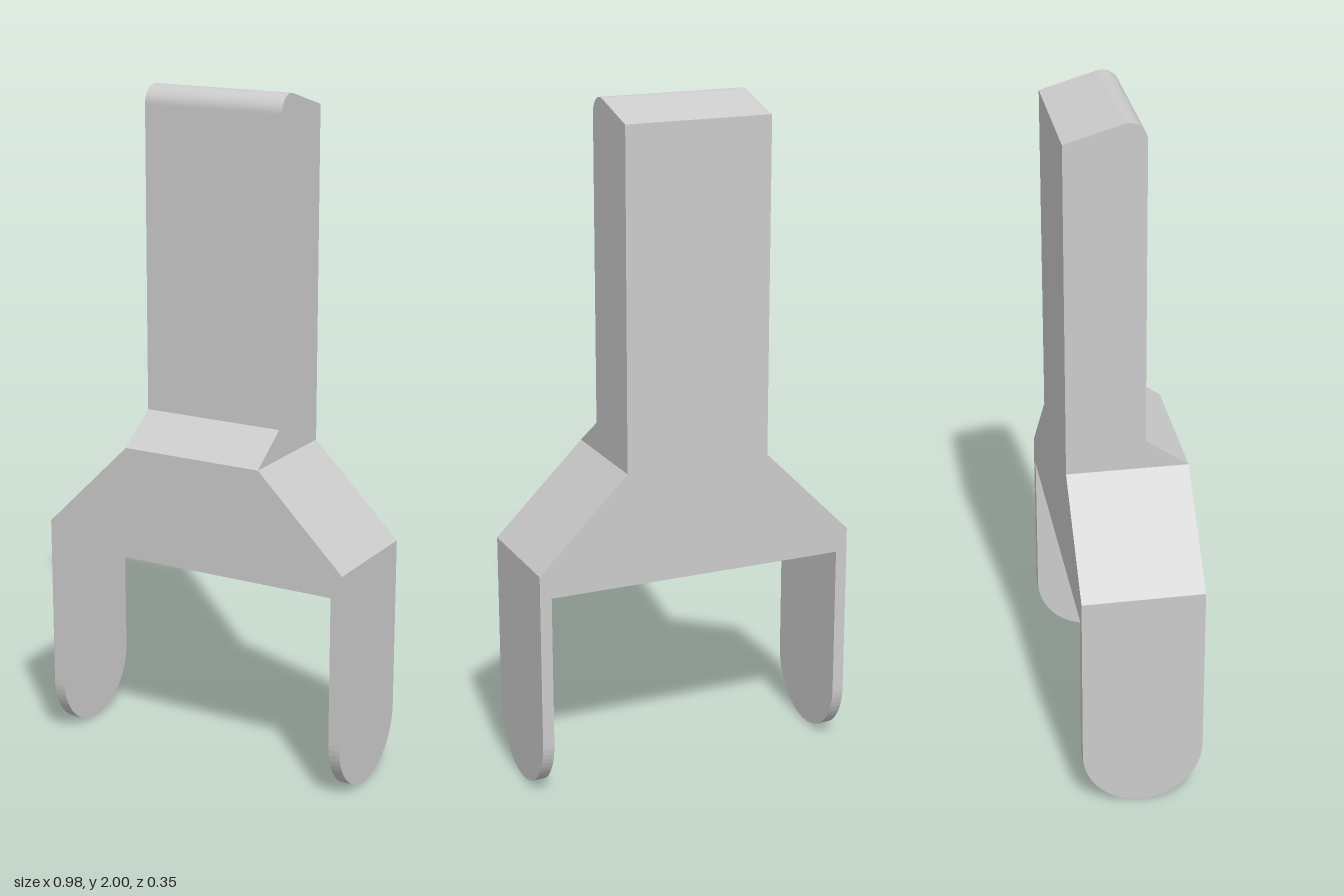
import * as THREE from 'three';

const HALF_DEPTH = 0.177;
const NECK_HALF = 0.22, OUTER = 0.49, LEG_WIDTH = 0.035;
const LEG_TOP = 0.625, SHOULDER_LOW = 0.695, SHOULDER_TOP = 0.963;

const material = new THREE.MeshStandardMaterial({ color: 0xcccccc, flatShading: true });

// Extrusion centred on its own depth
function slab(name, shape, depth, curveSegments = 16) {
  const geometry = new THREE.ExtrudeGeometry(shape, { depth, bevelEnabled: false, curveSegments });
  geometry.translate(0, 0, -depth / 2);
  const mesh = new THREE.Mesh(geometry, material);
  mesh.name = name;
  return mesh;
}

// Profile drawn in (z, y), extruded across x
function sideSlab(name, shape, width, curveSegments) {
  const mesh = slab(name, shape, width, curveSegments);
  mesh.geometry.rotateY(-Math.PI / 2);
  return mesh;
}

export function createModel() {
  const group = new THREE.Group();
  group.name = 'fork';

  // Handle: sloped foot, rounded front top edge, top falling to the back
  const handle = new THREE.Shape();
  handle.moveTo(-HALF_DEPTH, SHOULDER_TOP);
  handle.lineTo(HALF_DEPTH, SHOULDER_TOP);
  handle.lineTo(0.052, 1.05);
  handle.lineTo(0.052, 1.948);
  handle.absarc(0, 1.948, 0.052, 0, THREE.MathUtils.degToRad(106), false);
  handle.lineTo(-HALF_DEPTH, 1.95);
  handle.closePath();
  group.add(sideSlab('handle', handle, NECK_HALF * 2, 8));

  // Shoulder: tapered block joining handle and legs
  const shoulder = new THREE.Shape([
    [-OUTER, LEG_TOP], [OUTER, LEG_TOP], [OUTER, SHOULDER_LOW],
    [NECK_HALF, SHOULDER_TOP], [-NECK_HALF, SHOULDER_TOP], [-OUTER, SHOULDER_LOW],
  ].map(([x, y]) => new THREE.Vector2(x, y)));
  group.add(slab('shoulder', shoulder, HALF_DEPTH * 2));

  // Legs: thin plates with rounded lower ends
  const leg = new THREE.Shape();
  leg.moveTo(-HALF_DEPTH, LEG_TOP);
  leg.lineTo(-HALF_DEPTH, HALF_DEPTH);
  leg.absarc(0, HALF_DEPTH, HALF_DEPTH, Math.PI, Math.PI * 2, false);
  leg.lineTo(HALF_DEPTH, LEG_TOP);
  leg.closePath();
  for (const [name, side] of [['leftLeg', 1], ['rightLeg', -1]]) {
    const mesh = sideSlab(name, leg, LEG_WIDTH);
    mesh.position.x = side * (OUTER - LEG_WIDTH / 2);
    group.add(mesh);
  }

  return group;
}
